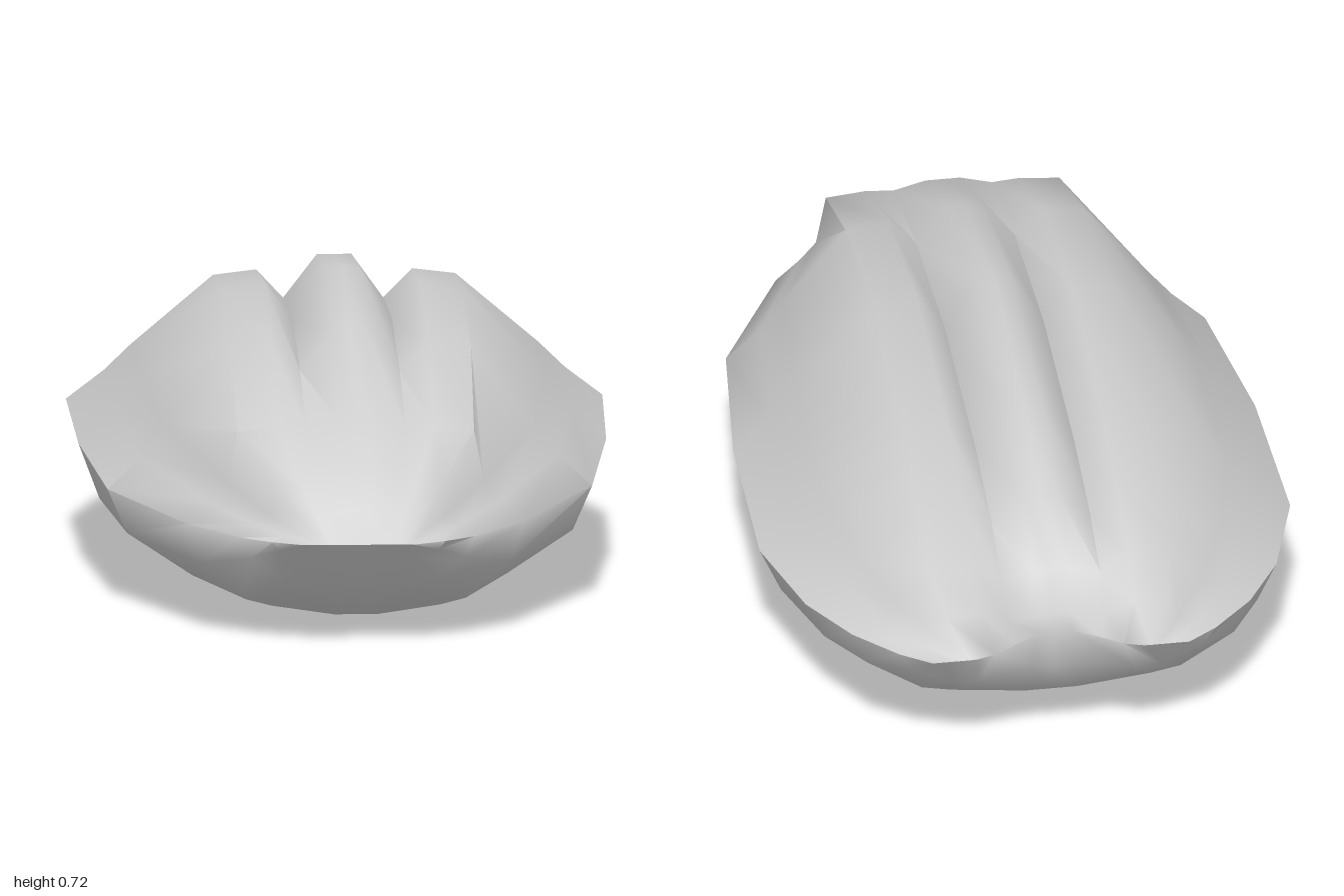
import * as THREE from 'three';
import { toCreasedNormals } from 'three/addons/utils/BufferGeometryUtils.js';

// Stations from front to back:
// z, half width, rim height, centre ridge, groove, side lobe, underside, rear notch depth
const STATIONS = [
  [1.0, 0.13, 0.25, 0.25, 0.25, 0.25, 0.25, 0],
  [0.96, 0.2, 0.25, 0.325, 0.32, 0.31, 0.205, 0],
  [0.9, 0.27, 0.25, 0.39, 0.385, 0.375, 0.135, 0],
  [0.77, 0.39, 0.26, 0.5, 0.48, 0.485, 0.045, 0],
  [0.43, 0.56, 0.28, 0.645, 0.555, 0.62, 0.035, 0],
  [0, 0.61, 0.31, 0.72, 0.595, 0.685, 0, 0],
  [-0.46, 0.62, 0.33, 0.665, 0.56, 0.63, 0.065, 0],
  [-0.7, 0.55, 0.33, 0.575, 0.51, 0.565, 0.11, 0],
  [-0.85, 0.465, 0.335, 0.465, 0.45, 0.495, 0.14, 0],
  [-0.95, 0.37, 0.335, 0.37, 0.38, 0.425, 0.23, 0.06],
  [-1.0, 0.3, 0.335, 0.335, 0.335, 0.335, 0.335, 0.09],
];

// Half of a cross-section, from the top centre over the rim to the bottom centre
function halfSection([, w, rim, ridge, groove, lobe, base]) {
  const up = (t) => rim + (lobe - rim) * t;
  const down = (t) => rim + (base - rim) * t;
  return [
    [0, ridge],
    [Math.min(0.04, 0.13 * w), ridge],
    [Math.min(0.115, 0.33 * w), groove],
    [Math.min(0.18, 0.5 * w), lobe],
    [Math.min(0.28, 0.7 * w), up(0.96)],
    [0.76 * w, up(0.42)],
    [0.86 * w, up(0.22)],
    [w, rim],
    [0.92 * w, down(0.42)],
    [0.65 * w, down(0.83)],
    [0.5 * w, down(0.9)],
    [0.13 * w, down(1)],
    [0, base],
  ];
}

function shellGeometry() {
  const positions = [];
  const index = [];
  let n = 0;
  for (const s of STATIONS) {
    const half = halfSection(s);
    const mirrored = half.slice(1, -1).reverse().map(([x, y]) => [-x, y]);
    const ring = [...half, ...mirrored];
    n = ring.length;
    for (const [x, y] of ring) {
      // the rear edge is pulled forward near the centre line
      const pull = THREE.MathUtils.clamp((0.17 - Math.abs(x)) / 0.12, 0, 1);
      positions.push(x, y, s[0] + s[7] * pull);
    }
  }
  for (let i = 0; i < STATIONS.length - 1; i++) {
    for (let j = 0; j < n; j++) {
      const a = i * n + j;
      const b = i * n + ((j + 1) % n);
      index.push(a, b, a + n, b, b + n, a + n);
    }
  }
  const g = new THREE.BufferGeometry();
  g.setAttribute('position', new THREE.Float32BufferAttribute(positions, 3));
  g.setIndex(index);
  return toCreasedNormals(g, 1.15);
}

export function createModel() {
  const group = new THREE.Group();
  group.name = 'ribbedShell';
  const shell = new THREE.Mesh(
    shellGeometry(),
    new THREE.MeshStandardMaterial({ color: 0xcccccc, side: THREE.DoubleSide })
  );
  shell.name = 'shell';
  group.add(shell);
  return group;
}
